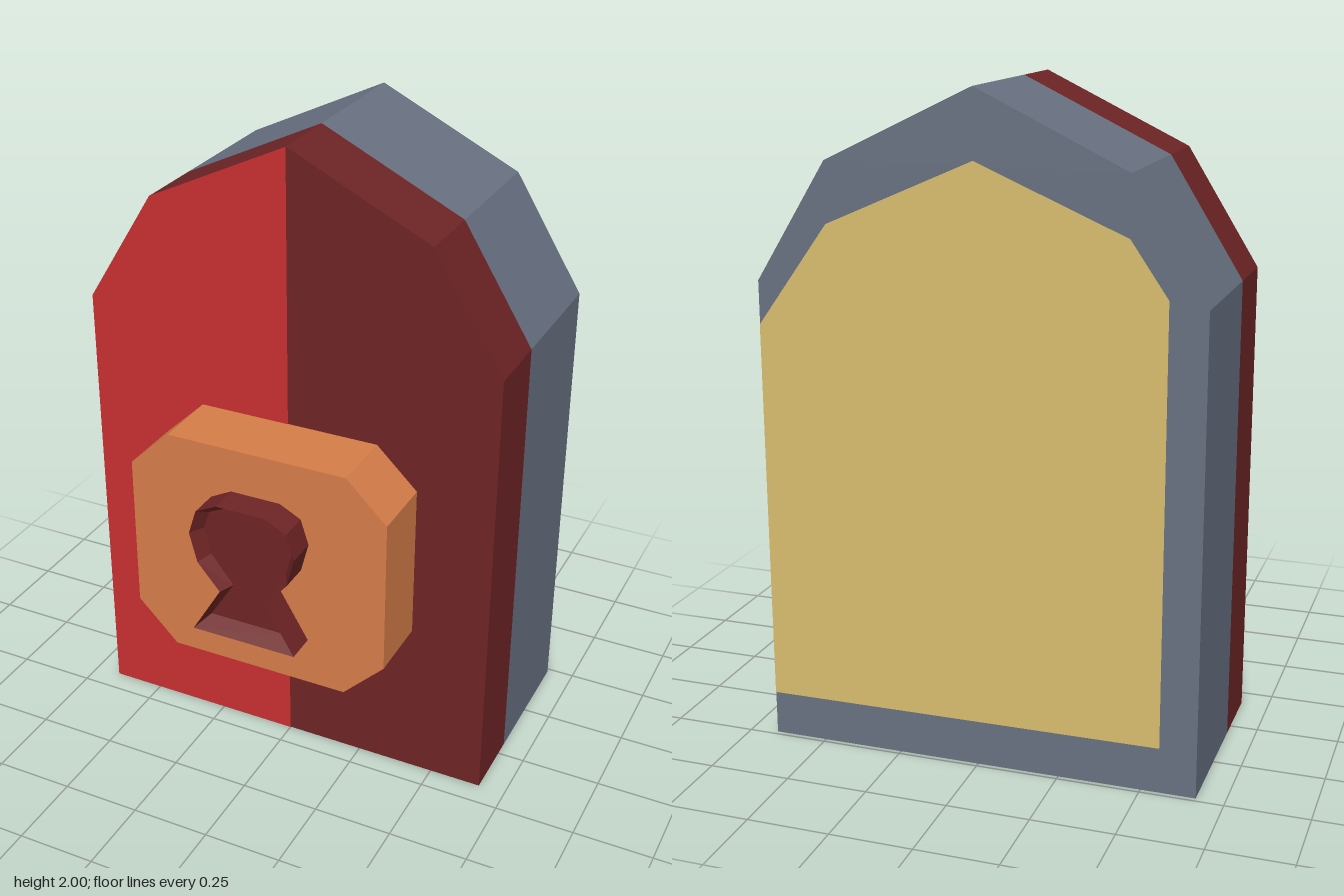
import * as THREE from 'three';

const material = (name, color) => {
  const m = new THREE.MeshStandardMaterial({ color });
  m.name = name;
  return m;
};

// Full outline (counter-clockwise) from its right half, listed bottom to top
const mirrored = (half) => [
  ...half,
  ...half.filter(([x]) => x > 0).reverse().map(([x, y]) => [-x, y]),
];
const shapeOf = (points) => new THREE.Shape(points.map(([x, y]) => new THREE.Vector2(x, y)));

// Flat faceted walls joining equal-length outlines, each at its own z
function loft(rings) {
  const pos = [];
  for (let i = 0; i < rings.length - 1; i++) {
    const n = rings[i].points.length;
    for (let j = 0; j < n; j++) {
      const at = (r, k) => [...rings[r].points[k % n], rings[r].z];
      const a = at(i, j), b = at(i, j + 1), c = at(i + 1, j + 1), d = at(i + 1, j);
      pos.push(...a, ...b, ...c, ...a, ...c, ...d);
    }
  }
  const g = new THREE.BufferGeometry();
  g.setAttribute('position', new THREE.Float32BufferAttribute(pos, 3));
  g.computeVertexNormals();
  return g;
}

export function createModel() {
  const red = material('bright red', 0xc93032);
  const maroon = material('dark red', 0x6e2425);
  const slate = material('slate grey', 0x687182);
  const orange = material('copper orange', 0xd67d49);
  const gold = material('pale gold', 0xd8bd6e);

  const model = new THREE.Group();
  model.name = 'keyholeBlock';
  const add = (name, geometry, mat) => {
    const mesh = new THREE.Mesh(geometry, mat);
    mesh.name = name;
    model.add(mesh);
    return mesh;
  };
  const slab = (name, points, z0, z1, mat) => {
    const g = new THREE.ExtrudeGeometry(shapeOf(points), { depth: z1 - z0, bevelEnabled: false });
    return add(name, g.translate(0, 0, z0), mat);
  };

  // Arched body in two layers
  const arch = mirrored([[0.665, 0], [0.665, 1.43], [0.445, 1.785], [0, 2]]);
  slab('backBody', arch, -0.485, -0.05, slate);
  slab('frontBody', arch, -0.05, 0.175, maroon);

  // Bright half of the front face
  const halfFace = [[0, 0], [0, 2], [-0.445, 1.785], [-0.665, 1.43], [-0.665, 0]];
  add('brightFrontHalf', new THREE.ShapeGeometry(shapeOf(halfFace)), red).position.z = 0.177;

  // Back panel, running out to one side edge (outline as seen from behind)
  const panel = [[-0.665, 0.135], [0.555, 0.14], [0.555, 1.45], [0.445, 1.61],
    [0, 1.8], [-0.445, 1.605], [-0.665, 1.3]];
  const back = add('backPanel', new THREE.ShapeGeometry(shapeOf(panel)), gold);
  back.rotation.y = Math.PI;
  back.position.z = -0.487;

  // Lock plate with cut corners
  const plate = mirrored([[0.29, 0.39], [0.42, 0.52], [0.42, 1.015], [0.29, 1.14]]);
  slab('lockPlate', plate, 0.175, 0.39, orange);

  // Raised keyhole with a hollowed, sloping inside
  const outer = mirrored([[0.17, 0.545], [0.075, 0.705], [0.148, 0.79], [0.173, 0.885],
    [0.148, 0.965], [0.08, 1]]);
  const inner = mirrored([[0.132, 0.582], [0.053, 0.708], [0.125, 0.8], [0.147, 0.885],
    [0.127, 0.945], [0.068, 0.973]]);
  add('keyholeRim', loft([
    { points: outer, z: 0.39 }, { points: outer, z: 0.485 }, { points: inner, z: 0.44 },
  ]), maroon);
  add('keyholeFloor', new THREE.ShapeGeometry(shapeOf(inner)), maroon).position.z = 0.44;

  return model;
}
